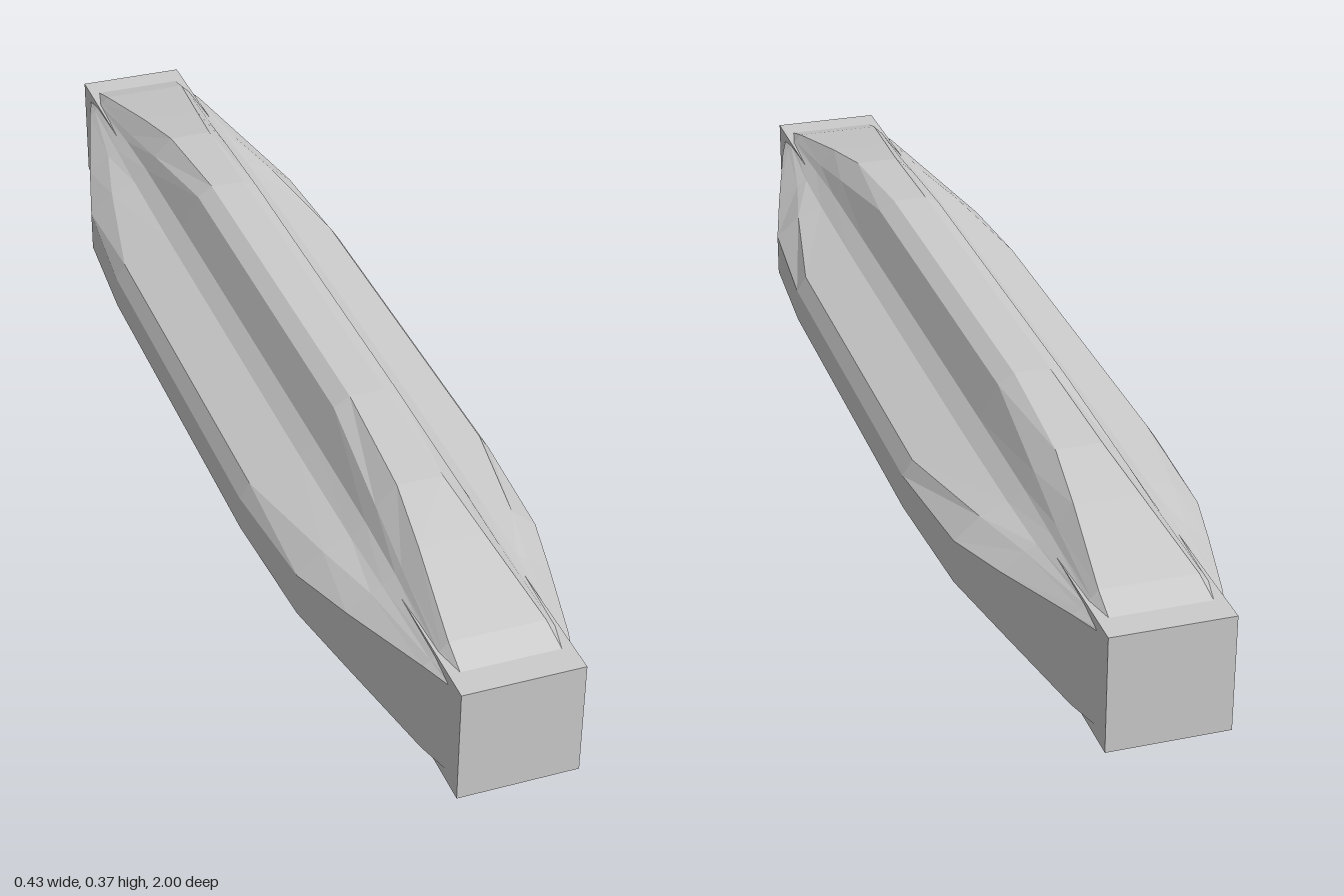
import * as THREE from 'three';

const CY = 0.187;

// One quadrant of each cross-section, from the side ridge up to the top ridge.
const stations = [
  { z: 0.36, q: [[0.217, 0.029], [0.2, 0.055], [0.115, 0.09], [0.088, 0.1125], [0.057, 0.17], [0.03, 0.1865]] },
  { z: 0.59, q: [[0.2, 0.037], [0.158, 0.073], [0.113, 0.09], [0.088, 0.111], [0.072, 0.138], [0.038, 0.17]] },
  { z: 0.72, q: [[0.166, 0.052], [0.128, 0.08], [0.11, 0.09], [0.089, 0.106], [0.08, 0.118], [0.053, 0.148]] },
  { z: 0.9, q: [[0.115, 0.077], [0.104, 0.086], [0.097, 0.092], [0.092, 0.097], [0.088, 0.101], [0.077, 0.1125]] },
  { z: 0.96, q: [[0.095, 0.08], [0.092, 0.084], [0.089, 0.087], [0.087, 0.089], [0.084, 0.091], [0.08, 0.095]] },
];

// Mirror a quadrant into a full counter-clockwise ring
function ring(q) {
  const r = [...q].reverse();
  return [
    ...q,
    ...r.map(([x, y]) => [-x, y]),
    ...q.map(([x, y]) => [-x, -y]),
    ...r.map(([x, y]) => [x, -y]),
  ];
}

function loft(sections) {
  const pos = [], index = [], n = sections[0].pts.length;
  for (const s of sections) for (const [x, y] of s.pts) pos.push(x, y, s.z);
  for (let i = 0; i < sections.length - 1; i++) {
    for (let j = 0; j < n; j++) {
      const k = (j + 1) % n;
      const a = i * n + j, b = i * n + k, c = a + n, d = b + n;
      // keep the diagonals symmetric front to back
      if (sections[i].z + sections[i + 1].z > 0) index.push(a, b, d, a, d, c);
      else index.push(a, b, c, b, d, c);
    }
  }
  const g = new THREE.BufferGeometry();
  g.setAttribute('position', new THREE.Float32BufferAttribute(pos, 3));
  g.setIndex(index);
  const flat = g.toNonIndexed();
  flat.computeVertexNormals();
  return flat;
}

export function createModel() {
  const group = new THREE.Group();
  group.name = 'ridgedBar';
  const mat = new THREE.MeshStandardMaterial({ color: 0xcccccc, flatShading: true });

  // Square core that shows as a block at both ends
  const core = new THREE.Mesh(new THREE.BoxGeometry(0.195, 0.195, 2), mat);
  core.name = 'squareCore';
  core.position.y = CY;
  group.add(core);

  // Four tapering ridges around the core
  const half = stations.map(({ z, q }) => ({ z, pts: ring(q) }));
  const sections = [...half.map(s => ({ z: -s.z, pts: s.pts })).reverse(), ...half];
  const ridges = new THREE.Mesh(loft(sections), mat);
  ridges.name = 'ridges';
  ridges.position.y = CY;
  group.add(ridges);

  return group;
}
